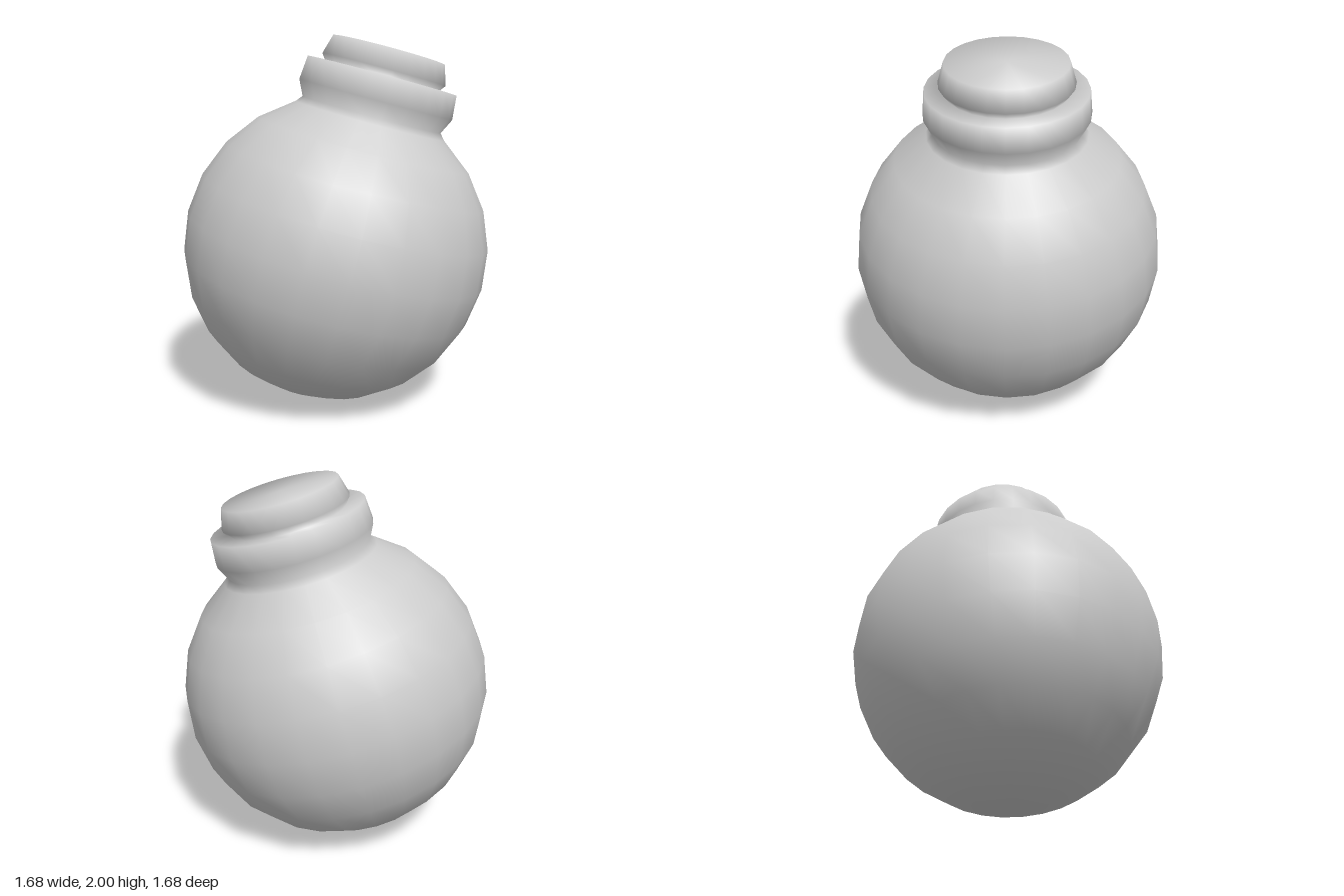
import * as THREE from 'three';

const SIDES = 24;
const R = 0.84;
const TILT = Math.PI / 12;

// Smooth profile normals: even average of the two adjoining segments
function profileNormals(pts) {
  const seg = pts.slice(1).map((p, i) => {
    const d = p.clone().sub(pts[i]).normalize();
    return new THREE.Vector2(d.y, -d.x);
  });
  return pts.map((p, i) => {
    if (i === 0) return new THREE.Vector2(0, -1);
    if (i === pts.length - 1) return new THREE.Vector2(0, 1);
    return seg[i - 1].clone().add(seg[i]).normalize();
  });
}

// Turn one stretch of the profile into a named mesh
function turned(name, pts, normals, from, to, material) {
  const slice = pts.slice(from, to + 1);
  const geo = new THREE.LatheGeometry(slice, SIDES);
  const attr = geo.attributes.normal;
  for (let i = 0; i <= SIDES; i++) {
    const a = (i / SIDES) * Math.PI * 2;
    slice.forEach((p, j) => {
      const n = normals[from + j];
      attr.setXYZ(i * slice.length + j, n.x * Math.sin(a), n.y, n.x * Math.cos(a));
    });
  }
  const mesh = new THREE.Mesh(geo, material);
  mesh.name = name;
  return mesh;
}

export function createModel() {
  const material = new THREE.MeshStandardMaterial({ color: 0xcccccc, side: THREE.DoubleSide });
  const pts = [];

  // Round body, from the bottom pole up to the shoulder
  for (let i = 0; i <= 10; i++) {
    const a = (i / 12) * Math.PI;
    pts.push(new THREE.Vector2(i === 0 ? 0 : R * Math.sin(a), -R * Math.cos(a)));
  }
  // Pinched neck, collar, groove and stopper
  for (const [r, h] of [
    [0.39, 0.762], [0.43, 0.846], [0.417, 0.977],
    [0.315, 0.97], [0.345, 1.01], [0.313, 1.118], [0, 1.118],
  ]) pts.push(new THREE.Vector2(r, h));

  const normals = profileNormals(pts);
  const group = new THREE.Group();
  group.name = 'flask';

  // The whole flask leans to its left
  const flask = new THREE.Group();
  flask.name = 'tiltedFlask';
  flask.position.y = R;
  flask.rotation.z = -TILT;
  flask.add(
    turned('body', pts, normals, 0, 11, material),
    turned('collar', pts, normals, 11, 14, material),
    turned('stopper', pts, normals, 14, 17, material),
  );
  group.add(flask);
  return group;
}
